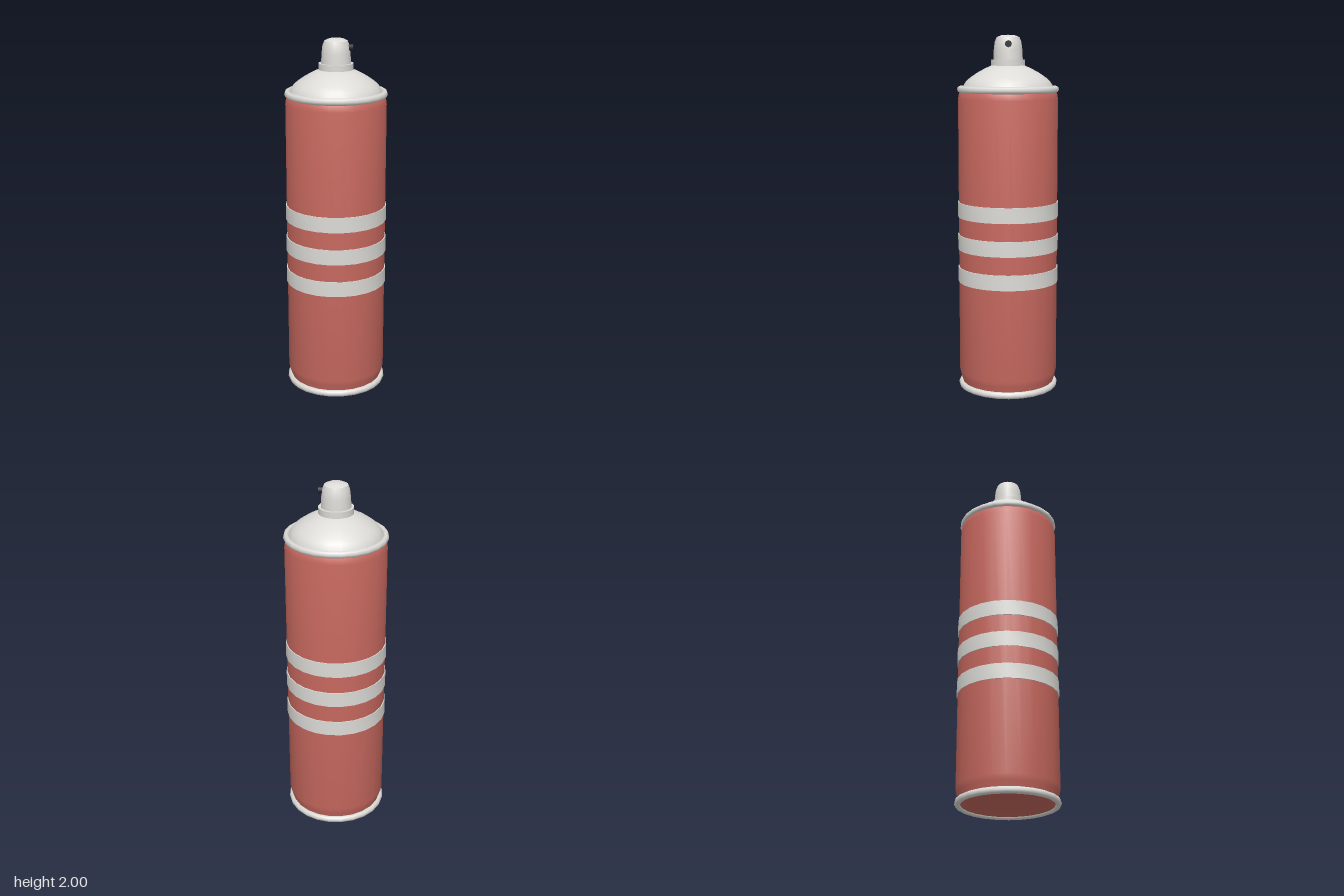
import * as THREE from 'three';
import { toCreasedNormals } from 'three/addons/utils/BufferGeometryUtils.js';

const mat = (name, color) => {
  const m = new THREE.MeshStandardMaterial({ color });
  m.name = name;
  return m;
};

// Revolve [radius, y] points, listed from the bottom up
function turned(points, sides) {
  const profile = points.map(([r, y]) => new THREE.Vector2(r, y));
  return toCreasedNormals(new THREE.LatheGeometry(profile, sides), 0.6);
}

export function createModel() {
  const red = mat('red paint', 0xc8695f);
  const white = mat('off-white', 0xdcdbd7);
  const black = mat('black', 0x22222a);
  const can = new THREE.Group();
  can.name = 'sprayCan';

  const add = (name, geometry, material, y = 0) => {
    const mesh = new THREE.Mesh(geometry, material);
    mesh.name = name;
    mesh.position.y = y;
    can.add(mesh);
    return mesh;
  };

  // Body with a hollowed base and pinched ends
  add('body', turned([
    [0, 0.075], [0.1, 0.066], [0.19, 0.042], [0.256, 0.012], [0.26, 0.035],
    [0.272, 0.07], [0.278, 0.1], [0.278, 1.65], [0.274, 1.675], [0.264, 1.695],
  ], 24), red);

  // Rolled rims at both ends
  for (const [name, y] of [['bottomRim', 0.02], ['topRim', 1.702]]) {
    const rim = new THREE.TorusGeometry(0.266, 0.017, 8, 24).rotateX(Math.PI / 2);
    rim.scale(1, 1.15, 1);
    add(name, rim, white, y);
  }

  // Three raised bands
  [0.662, 0.848, 1.033].forEach((y, i) => {
    add(`band${i + 1}`, turned([
      [0.27, -0.043], [0.283, -0.043], [0.283, 0.043], [0.27, 0.043],
    ], 24), white, y);
  });

  // Shoulder dome and the collar under the cap
  add('dome', turned([
    [0.258, 1.695], [0.25, 1.72], [0.234, 1.745], [0.21, 1.767],
    [0.172, 1.793], [0.13, 1.816], [0.09, 1.834], [0.07, 1.836],
  ], 24), white);
  add('collar', turned([
    [0.08, 1.83], [0.095, 1.83], [0.095, 1.866], [0.06, 1.866],
  ], 24), white);

  // Push cap
  add('cap', turned([
    [0.082, 1.86], [0.079, 1.92], [0.074, 1.96], [0.064, 1.986], [0.04, 1.997], [0, 2],
  ], 16), white);

  // Spray nozzle
  const nozzle = add('nozzle', new THREE.CylinderGeometry(0.019, 0.019, 0.03, 8), black, 1.95);
  nozzle.rotation.z = -Math.PI / 2;
  nozzle.position.x = 0.079;

  return can;
}
